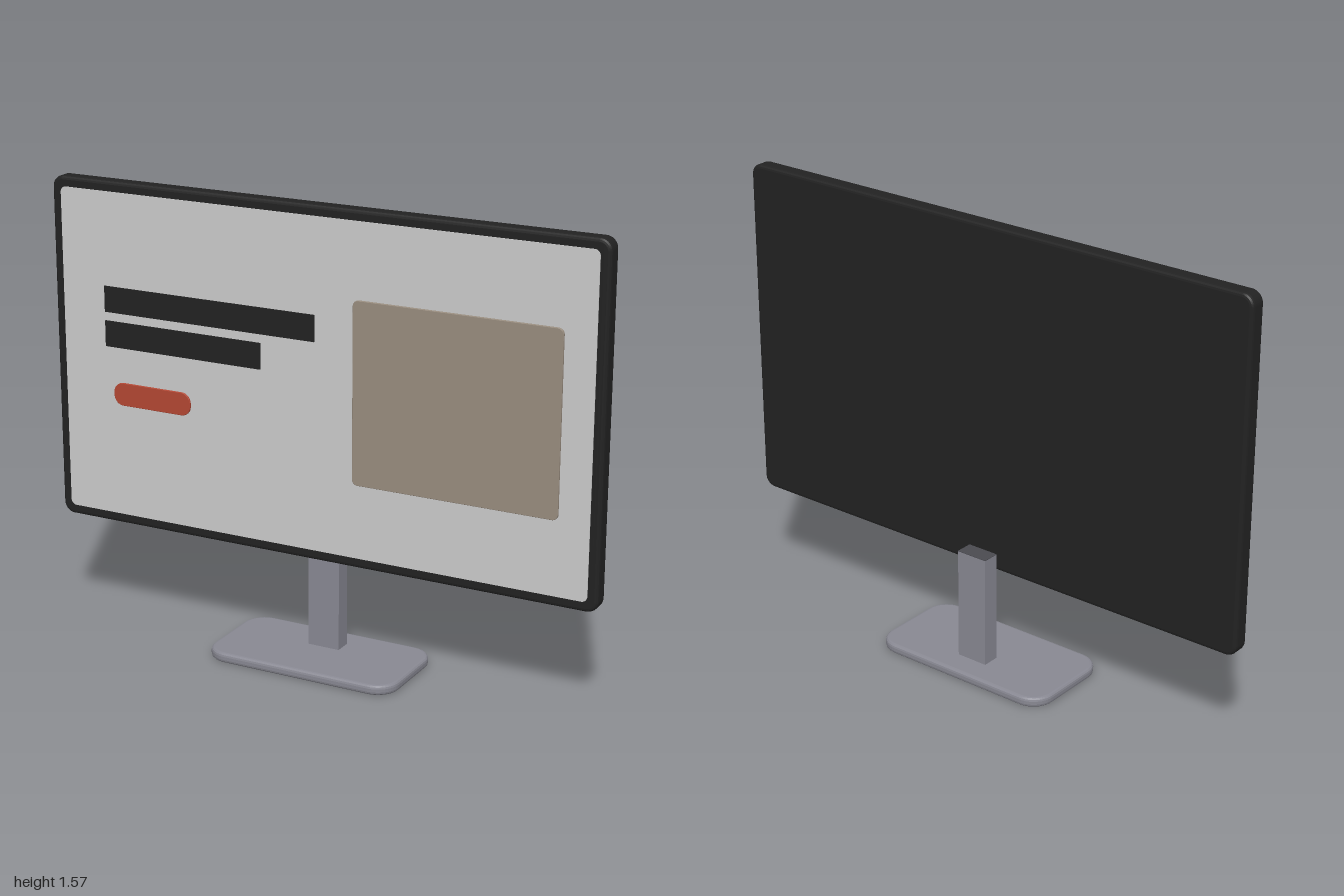
import * as THREE from 'three';

const mat = (name, color, extra = {}) => {
  const m = new THREE.MeshStandardMaterial({ color, ...extra });
  m.name = name;
  return m;
};

// Rounded rectangle outline centred on the origin
function roundedRect(w, h, r) {
  const s = new THREE.Shape();
  const x = w / 2, y = h / 2;
  s.moveTo(-x + r, -y);
  s.lineTo(x - r, -y);
  s.absarc(x - r, -y + r, r, -Math.PI / 2, 0);
  s.lineTo(x, y - r);
  s.absarc(x - r, y - r, r, 0, Math.PI / 2);
  s.lineTo(-x + r, y);
  s.absarc(-x + r, y - r, r, Math.PI / 2, Math.PI);
  s.lineTo(-x, -y + r);
  s.absarc(-x + r, -y + r, r, Math.PI, Math.PI * 1.5);
  return s;
}

// Slab with rounded corners and bevelled rims, centred in depth
function slab(w, h, d, r, bevel) {
  const geo = new THREE.ExtrudeGeometry(
    roundedRect(w - 2 * bevel, h - 2 * bevel, r - bevel),
    {
      depth: d - 2 * bevel, curveSegments: 6, bevelEnabled: bevel > 0,
      bevelSize: bevel, bevelThickness: bevel, bevelSegments: 3,
    },
  );
  return geo.translate(0, 0, -d / 2 + bevel);
}

export function createModel() {
  const group = new THREE.Group();
  group.name = 'desktopMonitor';

  const black = mat('casing black', 0x222222);
  const white = mat('screen light grey', 0xcbcbcb);
  const taupe = mat('picture taupe', 0x988c7e);
  const red = mat('button red', 0xb34733);
  const grey = mat('stand grey', 0x888892);
  const dark = mat('stand cap dark grey', 0x4a4a50);

  const add = (name, geo, material, x, y, z) => {
    const mesh = new THREE.Mesh(geo, material);
    mesh.name = name;
    mesh.position.set(x, y, z);
    group.add(mesh);
    return mesh;
  };

  // Casing and display panel
  add('casing', slab(2, 1.2, 0.06, 0.04, 0.012), black, 0, 0.97, 0);
  add('displayPanel', slab(1.93, 1.13, 0.008, 0.02, 0), white, 0, 0.97, 0.029);

  // Flat items on the display
  add('upperBar', new THREE.BoxGeometry(0.8, 0.09, 0.006), black, -0.4, 1.167, 0.034);
  add('lowerBar', new THREE.BoxGeometry(0.6, 0.09, 0.006), black, -0.5, 1.047, 0.034);
  add('button', slab(0.3, 0.08, 0.008, 0.035, 0.002), red, -0.62, 0.84, 0.035);
  add('picturePanel', slab(0.72, 0.62, 0.009, 0.02, 0.002), taupe, 0, 0.97, 0.0355)
    .position.x = 0.5;

  // Stand: post behind the casing, darker top plate, bevelled foot
  add('post', new THREE.BoxGeometry(0.115, 0.4, 0.06), grey, 0, 0.228, -0.06);
  add('postCap', new THREE.BoxGeometry(0.115, 0.002, 0.06), dark, 0, 0.429, -0.06);
  const foot = slab(0.7, 0.36, 0.035, 0.08, 0.012).rotateX(-Math.PI / 2);
  add('foot', foot, grey, 0, 0.0175, 0);

  return group;
}
